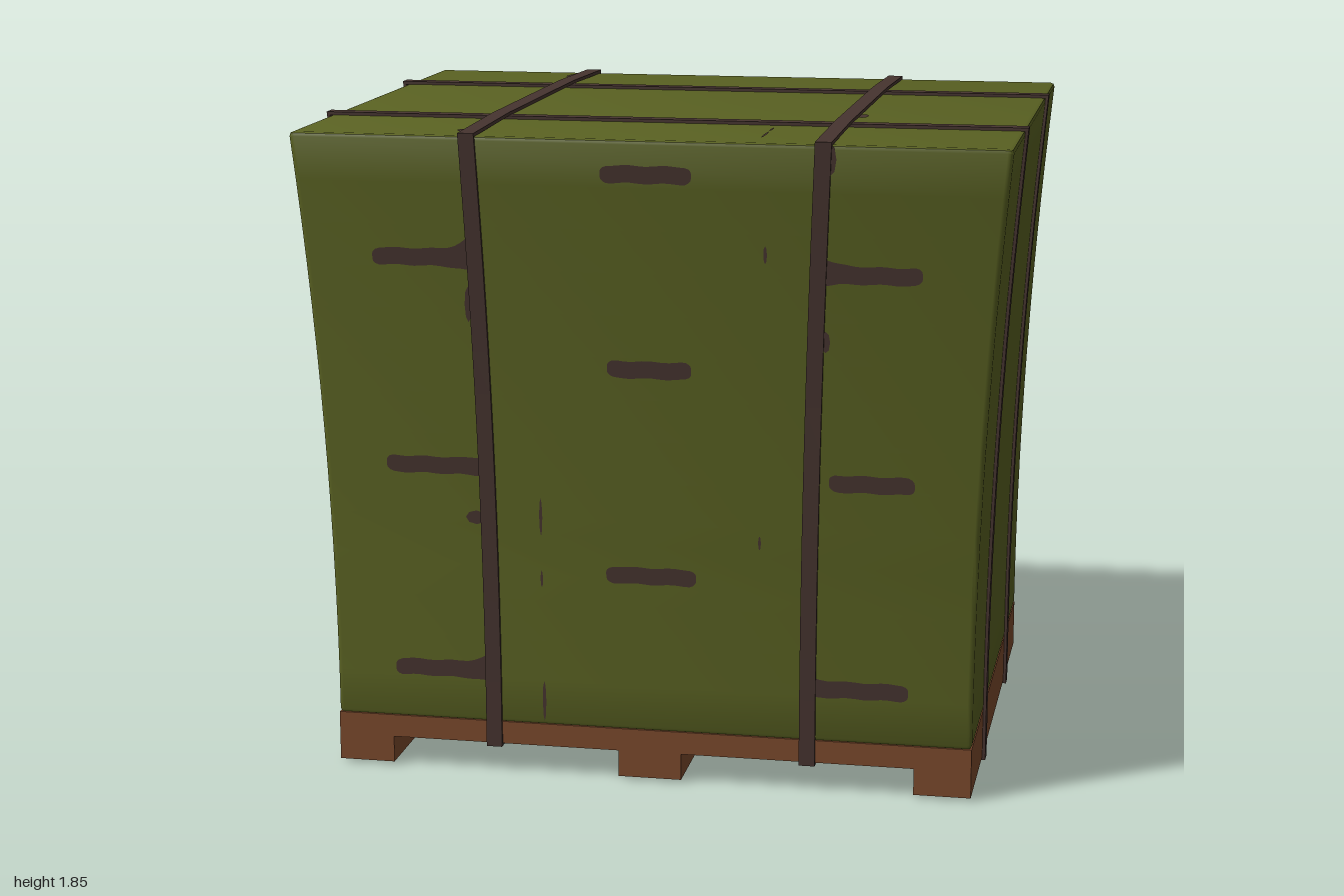
import * as THREE from 'three';
import { toCreasedNormals } from 'three/addons/utils/BufferGeometryUtils.js';

const BASE = 0.148, TOP = 1.828;

// outward flare of the load: 0 at the pallet, 1 at the top
const flare = (y) => Math.min(1, Math.max(0, (y - BASE) / (TOP - BASE))) ** 2;
const halfX = (y) => 0.908 + 0.083 * flare(y);
const halfZ = (y) => 0.732 + 0.06 * flare(y);

const olive = new THREE.MeshStandardMaterial({ color: 0x5a6222 });
olive.name = 'olive tarp';
const dark = new THREE.MeshStandardMaterial({ color: 0x46342f });
dark.name = 'dark brown strap';
const wood = new THREE.MeshStandardMaterial({ color: 0x7c4a2d });
wood.name = 'pallet wood';

function add(parent, name, geometry, material) {
  const mesh = new THREE.Mesh(geometry, material);
  mesh.name = name;
  parent.add(mesh);
  return mesh;
}

// covered load: rounded rectangle extruded upward, then flared
function loadGeometry() {
  const w = 0.908, d = 0.732, r = 0.014, b = 0.012;
  const s = new THREE.Shape();
  s.moveTo(-w + r, -d);
  s.lineTo(w - r, -d); s.quadraticCurveTo(w, -d, w, -d + r);
  s.lineTo(w, d - r); s.quadraticCurveTo(w, d, w - r, d);
  s.lineTo(-w + r, d); s.quadraticCurveTo(-w, d, -w, d - r);
  s.lineTo(-w, -d + r); s.quadraticCurveTo(-w, -d, -w + r, -d);
  const geo = new THREE.ExtrudeGeometry(s, {
    depth: TOP - BASE - 2 * b, steps: 14, curveSegments: 3,
    bevelEnabled: true, bevelThickness: b, bevelSize: b, bevelOffset: -b, bevelSegments: 2,
  });
  geo.rotateX(-Math.PI / 2);
  geo.translate(0, BASE + b, 0);
  const p = geo.attributes.position;
  for (let i = 0; i < p.count; i++) {
    const y = p.getY(i);
    p.setX(i, p.getX(i) * halfX(y) / w);
    p.setZ(i, p.getZ(i) * halfZ(y) / d);
  }
  return toCreasedNormals(geo, 0.6);
}

// closed strap loop running along x; lateral position follows the flare
function strapGeometry(half, bottom, lateral, spread, bumpAt) {
  const T = 0.009, W = 0.0225, steps = 14;
  const path = (o) => {
    const right = [[half(bottom) + o, bottom - o]];
    for (let i = 0; i <= steps; i++) {
      const y = BASE + (TOP - BASE) * i / steps;
      right.push([half(y) + o, i === steps ? y + o : y]);
    }
    if (bumpAt) right.push([bumpAt, TOP + o + 0.009]);
    return [...right, ...right.map(([u, y]) => [-u, y]).reverse()];
  };
  const outer = path(T), inner = path(-0.001), pos = [];
  const pt = ([u, y], side) => [u, y, lateral + spread * flare(y) + side * W];
  const quad = (a, b, c, d) => pos.push(...a, ...b, ...c, ...a, ...c, ...d);
  for (let i = 0; i < outer.length; i++) {
    const j = (i + 1) % outer.length;
    const o = [pt(outer[i], -1), pt(outer[j], -1), pt(outer[j], 1), pt(outer[i], 1)];
    const n = [pt(inner[i], -1), pt(inner[j], -1), pt(inner[j], 1), pt(inner[i], 1)];
    quad(...o);
    quad(n[3], n[2], n[1], n[0]);
    quad(o[3], o[2], n[2], n[3]);
    quad(n[0], n[1], o[1], o[0]);
  }
  const geo = new THREE.BufferGeometry();
  geo.setAttribute('position', new THREE.Float32BufferAttribute(pos, 3));
  geo.computeVertexNormals();
  return geo;
}

// painted slot on the front face, ragged edge, optional swelling at the strap end
function slotGeometry(x0, x1, y, swell = 0, end = 1) {
  const up = [], down = [], n = 18, r = 0.024;
  for (let i = 0; i <= n; i++) {
    const t = (1 - Math.cos(Math.PI * i / n)) / 2;
    const x = x0 + (x1 - x0) * t;
    const gap = Math.min(x - x0, x1 - x, r);
    const round = 0.3 * r + 0.7 * Math.sqrt(Math.max(0, r * r - (r - gap) ** 2));
    const near = (end > 0 ? t : 1 - t) ** 8;
    const wob = 0.002 * Math.sin(x * 61 + y * 17);
    up.push(new THREE.Vector2(x, y + round + wob + swell * near));
    down.unshift(new THREE.Vector2(x, y - round + wob - swell * near * 0.35));
  }
  return onFront(new THREE.ShapeGeometry(new THREE.Shape([...down.reverse(), ...up.reverse()])));
}

// lay a flat shape on the sloping front face
function onFront(geo) {
  const p = geo.attributes.position;
  for (let i = 0; i < p.count; i++) p.setZ(i, halfZ(p.getY(i)) + 0.003);
  geo.computeVertexNormals();
  return geo;
}

function speckGeometry(x, y, w, h) {
  const geo = new THREE.CircleGeometry(0.5, 8);
  geo.scale(w, h, 1);
  geo.translate(x, y, 0);
  return geo;
}

export function createModel() {
  const model = new THREE.Group();
  model.name = 'strappedPalletLoad';

  // pallet: deck on three runners
  const pallet = new THREE.Group();
  pallet.name = 'pallet';
  model.add(pallet);
  add(pallet, 'deck', new THREE.BoxGeometry(1.816, 0.065, 1.464), wood).position.y = 0.1175;
  for (const [x, w] of [[-0.828, 0.16], [0, 0.18], [0.828, 0.16]]) {
    add(pallet, 'runner', new THREE.BoxGeometry(w, 0.078, 1.464), wood).position.set(x, 0.048, 0);
  }

  add(model, 'coveredLoad', loadGeometry(), olive);

  // two straps each way
  for (const side of [-1, 1]) {
    add(model, 'sideStrap', strapGeometry(halfX, 0.009, side * 0.36, side * 0.03), dark);
    const cross = strapGeometry(halfZ, 0.086, side * 0.449, side * 0.039, 0.41);
    cross.rotateY(Math.PI / 2);
    add(model, 'frontStrap', cross, dark);
  }

  // painted slots and scuffs, the same on front and back
  const slots = [
    [-0.12, 0.13, 1.735], [-0.11, 0.125, 1.193], [-0.12, 0.135, 0.603],
    [-0.765, -0.48, 1.49, 0.05, 1], [-0.745, -0.46, 0.897, 0.008, 1], [-0.735, -0.45, 0.3, 0.035, 1],
    [0.48, 0.755, 1.477, 0.03, -1], [0.505, 0.74, 0.895], [0.43, 0.73, 0.303, 0.012, -1],
  ];
  const scuffs = [
    [0.33, 1.525, 0.01, 0.05], [-0.305, 0.76, 0.009, 0.11], [-0.305, 0.58, 0.007, 0.05],
    [-0.302, 0.22, 0.01, 0.12], [0.313, 0.715, 0.008, 0.04], [0.505, 1.79, 0.035, 0.09],
    [-0.497, 1.36, 0.02, 0.1], [-0.49, 0.75, 0.06, 0.04], [0.494, 1.29, 0.025, 0.06],
  ];
  for (const turn of [0, Math.PI]) {
    const face = new THREE.Group();
    face.name = turn ? 'backMarkings' : 'frontMarkings';
    face.rotation.y = turn;
    model.add(face);
    for (const s of slots) add(face, 'slot', slotGeometry(...s), dark);
    for (const s of scuffs) add(face, 'scuff', onFront(speckGeometry(...s)), dark);
  }

  // small stains on the top
  for (const s of [[-0.525, 0.665, 0.04, 0.11], [0.515, -0.185, 0.03, 0.08],
    [-0.52, -0.69, 0.04, 0.05], [0.305, -0.52, 0.007, 0.07], [0.305, -0.63, 0.007, 0.12]]) {
    const geo = speckGeometry(...s);
    geo.rotateX(-Math.PI / 2);
    add(model, 'topStain', geo, dark).position.y = TOP + 0.003;
  }
  return model;
}
